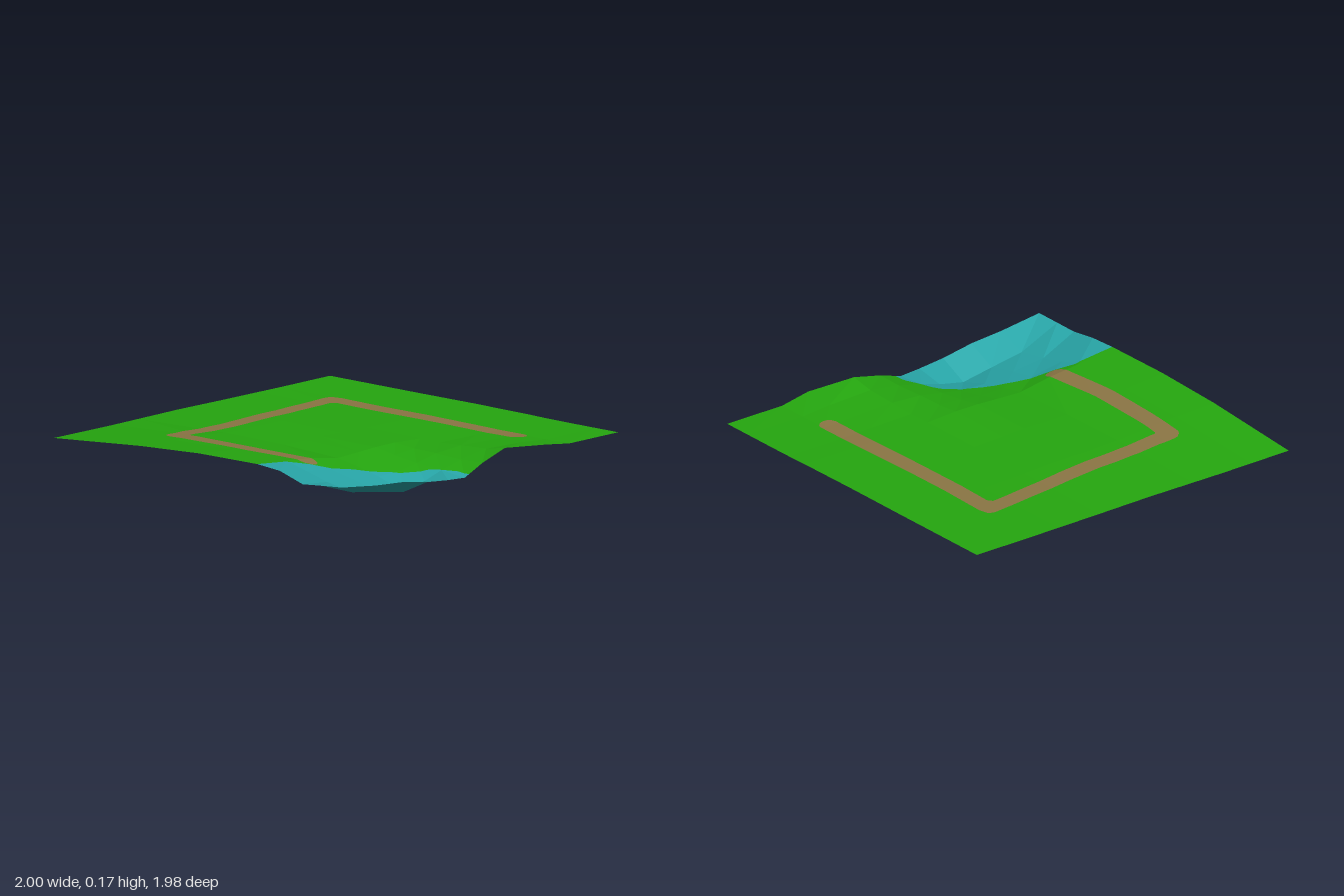
import * as THREE from 'three';

// Coarse terrain lattice: column x, row z, and a height for each crossing
const COLS = [-0.98, -0.74, -0.55, -0.37, -0.22, -0.1, 0.04, 0.22, 0.48, 0.65, 1];
const ROWS = [-0.993, -0.4, 0, 0.37, 0.5, 0.65, 0.82, 0.98];
const HEIGHTS = [
  [0.085, 0.082, 0.08, 0.08, 0.08, 0.08, 0.078, 0.075, 0.072, 0.07, 0.068],
  [0.14, 0.13, 0.118, 0.105, 0.1, 0.1, 0.098, 0.09, 0.083, 0.08, 0.078],
  [0.165, 0.145, 0.128, 0.108, 0.105, 0.105, 0.1, 0.095, 0.09, 0.088, 0.086],
  [0.173, 0.15, 0.13, 0.1, 0.105, 0.11, 0.11, 0.1, 0.095, 0.09, 0.09],
  [0.165, 0.12, 0.09, 0.08, 0.08, 0.09, 0.1, 0.1, 0.095, 0.09, 0.09],
  [0.13, 0.085, 0.065, 0.05, 0.055, 0.075, 0.1, 0.11, 0.1, 0.093, 0.092],
  [0.14, 0.06, 0.03, 0, 0.03, 0.065, 0.095, 0.12, 0.11, 0.095, 0.095],
  [0.15, 0.12, 0.105, 0.075, 0.06, 0.052, 0.1, 0.145, 0.125, 0.1, 0.098],
];
// Ragged left and front borders
const LEFT = [[-0.98, -0.993], [-0.98, -0.4], [-0.975, 0], [-0.97, 0.39], [-0.975, 0.55], [-1, 0.73], [-0.99, 0.85], [-0.98, 0.98]];
const FRONT = [0.98, 0.98, 0.98, 0.98, 0.98, 0.98, 0.965, 0.95, 0.99, 0.98, 0.98];

// Convex shoreline of the pond, and the centre line of the dirt path
const SHORE = [[-1.1, 0.39], [-0.74, 0.39], [-0.45, 0.52], [-0.3, 0.62], [-0.12, 0.76], [-0.065, 0.9], [-0.065, 1.1]];
const TRACK = [[-0.61, 0.39], [-0.635, 0.05], [-0.625, -0.3], [-0.61, -0.515], [-0.1, -0.535], [0.3, -0.575], [0.61, -0.605], [0.6, -0.3], [0.61, 0.66]];

// Negative inside the pond
function pondDistance(p) {
  let d = -Infinity;
  for (let i = 0; i < SHORE.length - 1; i++) {
    const [ax, az] = SHORE[i], [bx, bz] = SHORE[i + 1];
    const dx = bx - ax, dz = bz - az;
    d = Math.max(d, ((p.x - ax) * dz - (p.z - az) * dx) / Math.hypot(dx, dz));
  }
  return d;
}

// Negative on the path
function trackDistance(p) {
  let d = Infinity;
  for (let i = 0; i < TRACK.length - 1; i++) {
    const [ax, az] = TRACK[i], [bx, bz] = TRACK[i + 1];
    const dx = bx - ax, dz = bz - az;
    const t = THREE.MathUtils.clamp(((p.x - ax) * dx + (p.z - az) * dz) / (dx * dx + dz * dz), 0, 1);
    d = Math.min(d, Math.hypot(p.x - ax - t * dx, p.z - az - t * dz));
  }
  return d - 0.05;
}

// Cuts a polygon along the zero line of a distance function
function split(poly, distance) {
  const inside = [], outside = [];
  const values = poly.map(distance);
  poly.forEach((p, i) => {
    const j = (i + 1) % poly.length;
    (values[i] < 0 ? inside : outside).push(p);
    if ((values[i] < 0) !== (values[j] < 0)) {
      const cut = p.clone().lerp(poly[j], values[i] / (values[i] - values[j]));
      inside.push(cut);
      outside.push(cut);
    }
  });
  return [inside, outside];
}

function addPolygon(list, poly) {
  for (let i = 1; i < poly.length - 1; i++) {
    for (const p of [poly[0], poly[i], poly[i + 1]]) list.push(p.x, p.y, p.z);
  }
}

function latticePoint(i, j) {
  let x = COLS[i], z = ROWS[j];
  if (i === 0) [x, z] = LEFT[j];
  else if (j === ROWS.length - 1) z = FRONT[i];
  return new THREE.Vector3(x, HEIGHTS[j][i], z);
}

export function createModel() {
  const group = new THREE.Group();
  group.name = 'terrain';
  const grass = [], water = [], path = [];

  const addTriangle = (tri) => {
    const [pond, land] = split(tri, pondDistance);
    const [dirt, green] = split(land, trackDistance);
    addPolygon(water, pond);
    addPolygon(path, dirt);
    addPolygon(grass, green);
  };

  // Each flat facet is subdivided so the colour borders stay smooth
  const N = 10;
  const addFacet = (a, b, c) => {
    const at = (u, v) => a.clone().multiplyScalar(1 - (u + v) / N).addScaledVector(b, u / N).addScaledVector(c, v / N);
    for (let u = 0; u < N; u++) {
      for (let v = 0; v < N - u; v++) {
        addTriangle([at(u, v), at(u + 1, v), at(u, v + 1)]);
        if (u + v < N - 1) addTriangle([at(u + 1, v), at(u + 1, v + 1), at(u, v + 1)]);
      }
    }
  };

  for (let j = 0; j < ROWS.length - 1; j++) {
    for (let i = 0; i < COLS.length - 1; i++) {
      const a = latticePoint(i, j), b = latticePoint(i + 1, j);
      const c = latticePoint(i, j + 1), d = latticePoint(i + 1, j + 1);
      addFacet(a, c, b);
      addFacet(d, b, c);
    }
  }

  // One open sheet per colour
  const addSheet = (name, positions, color) => {
    const geometry = new THREE.BufferGeometry();
    geometry.setAttribute('position', new THREE.Float32BufferAttribute(positions, 3));
    geometry.computeVertexNormals();
    const material = new THREE.MeshStandardMaterial({ color, side: THREE.DoubleSide, flatShading: true });
    material.name = name + 'Colour';
    const mesh = new THREE.Mesh(geometry, material);
    mesh.name = name;
    group.add(mesh);
  };
  addSheet('grass', grass, 0x25a60f);
  addSheet('pond', water, 0x28a6a8);
  addSheet('dirtPath', path, 0x8a7544);
  return group;
}
